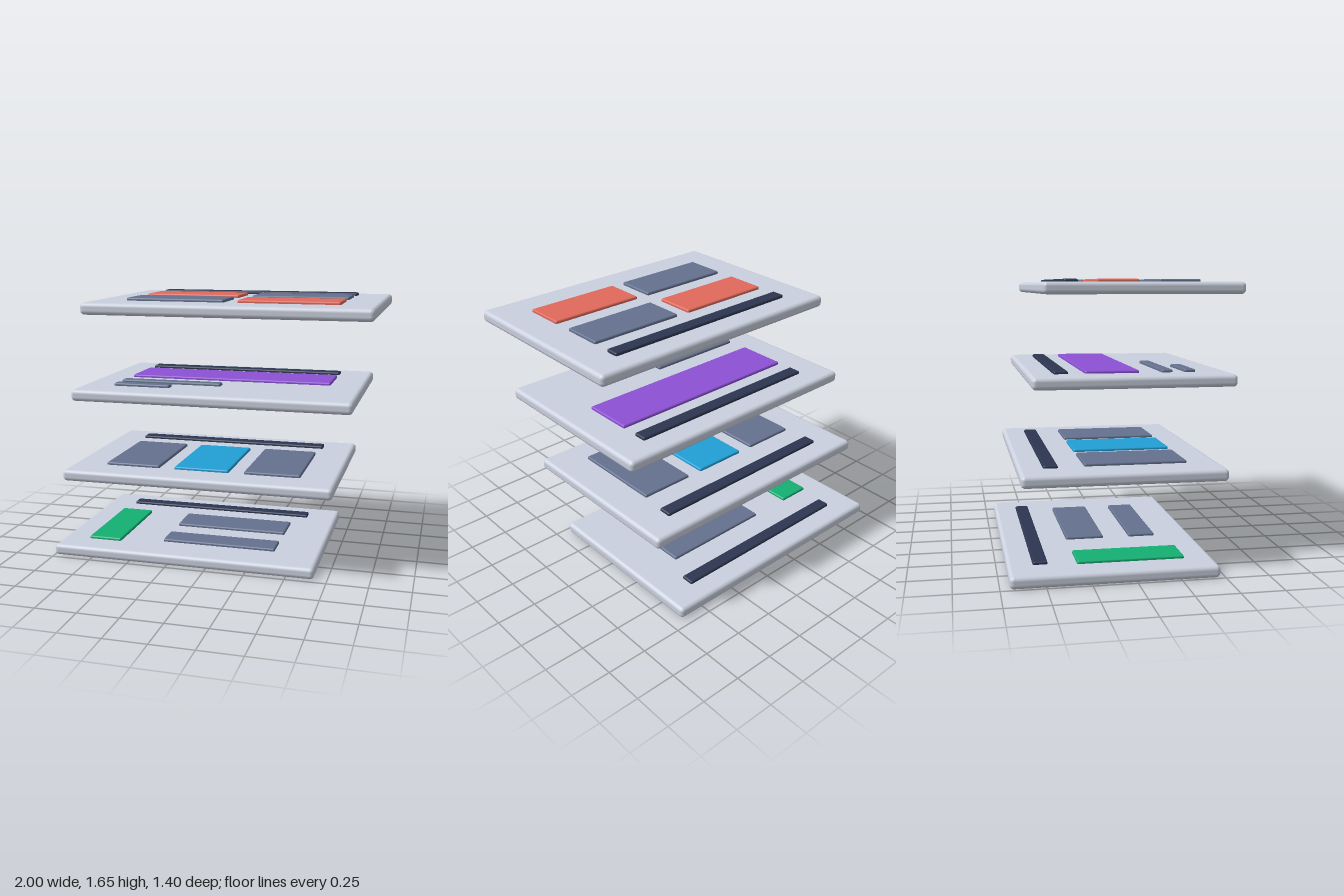
import * as THREE from 'three';
import { RoundedBoxGeometry } from 'three/addons/geometries/RoundedBoxGeometry.js';

const mat = (color) => new THREE.MeshStandardMaterial({ color });
const MATS = {
  panel: mat(0xcad0de), dark: mat(0x2d3650), slate: mat(0x65728f), green: mat(0x14b074),
  blue: mat(0x209fd6), purple: mat(0x8d50d4), red: mat(0xe0695b),
};
const PANEL = { w: 1.67, h: 0.07, d: 1.17 };
const STEP = { x: 0.109, y: 0.52, z: 0.0755 };

// Raised blocks of each layer, bottom to top: [name, colour, x, z, width, depth]
const LAYERS = [
  [
    ['sidebar', 'green', -0.555, 0.11, 0.215, 0.615],
    ['contentBlock', 'slate', 0.185, -0.082, 0.73, 0.23],
    ['contentBlock', 'slate', 0.185, 0.273, 0.73, 0.16],
  ],
  [
    ['card', 'slate', -0.442, 0.093, 0.345, 0.6],
    ['middleCard', 'blue', 0, 0.093, 0.345, 0.6],
    ['card', 'slate', 0.442, 0.093, 0.345, 0.6],
  ],
  [
    ['banner', 'purple', 0, -0.105, 1.27, 0.315],
    ['longLine', 'slate', -0.32, 0.22, 0.63, 0.065],
    ['shortLine', 'slate', -0.46, 0.355, 0.35, 0.065],
  ],
  [
    ['tile', 'red', -0.334, -0.123, 0.587, 0.25],
    ['tile', 'slate', 0.334, -0.123, 0.587, 0.25],
    ['tile', 'slate', -0.334, 0.247, 0.587, 0.25],
    ['tile', 'red', 0.334, 0.247, 0.587, 0.25],
  ],
];

function block(name, material, w, h, d, radius) {
  const mesh = new THREE.Mesh(new RoundedBoxGeometry(w, h, d, 3, radius), MATS[material]);
  mesh.name = name;
  return mesh;
}

export function createModel() {
  const model = new THREE.Group();
  model.name = 'stackedPanels';

  LAYERS.forEach((blocks, i) => {
    const layer = new THREE.Group();
    layer.name = `layer${i + 1}`;
    const k = i - (LAYERS.length - 1) / 2;
    layer.position.set(k * STEP.x, i * STEP.y, k * STEP.z);

    // Base panel
    const panel = block('panel', 'panel', PANEL.w, PANEL.h, PANEL.d, 0.025);
    panel.position.y = PANEL.h / 2;
    layer.add(panel);

    // Header bar, shared by all layers, and the layer's own blocks
    const header = ['headerBar', 'dark', 0, -0.402, 1.27, 0.083];
    for (const [name, color, x, z, w, d] of [header, ...blocks]) {
      const part = block(name, color, w, 0.034, d, 0.01);
      part.position.set(x, PANEL.h, z);
      layer.add(part);
    }
    model.add(layer);
  });
  return model;
}
